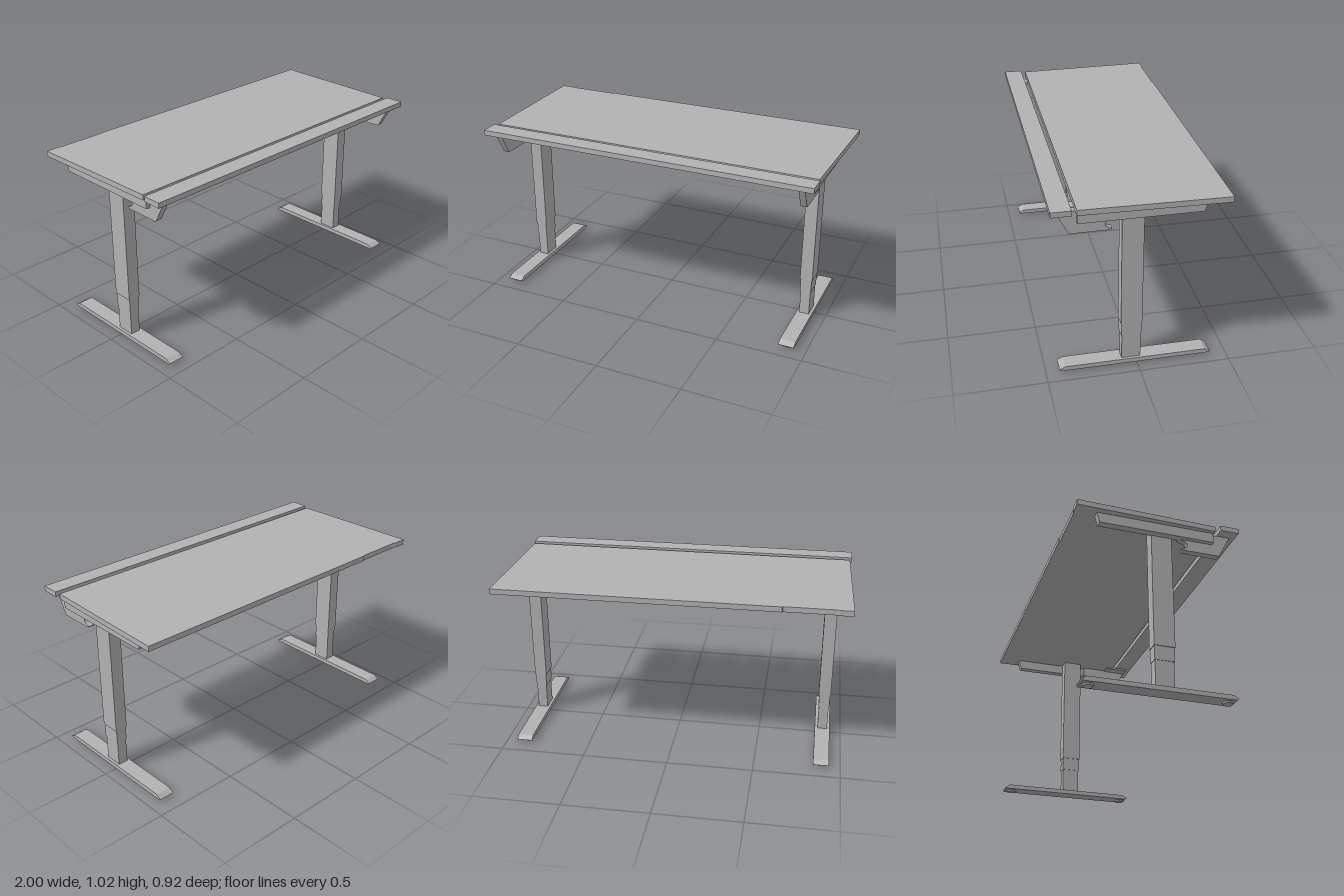
import * as THREE from 'three';

const grey = new THREE.MeshStandardMaterial({ color: 0xb2b2b2 });
grey.name = 'light grey';

function add(parent, name, geometry) {
  const mesh = new THREE.Mesh(geometry, grey);
  mesh.name = name;
  parent.add(mesh);
  return mesh;
}

// Box given by its limits on each axis
function box(x0, x1, y0, y1, z0, z1) {
  return new THREE.BoxGeometry(x1 - x0, y1 - y0, z1 - z0)
    .translate((x0 + x1) / 2, (y0 + y1) / 2, (z0 + z1) / 2);
}

function shapeOf(points) {
  return new THREE.Shape(points.map(([a, b]) => new THREE.Vector2(a, b)));
}

// Side profile of [z, y] points, extruded from x0 to x1
function sideProfile(shape, x0, x1) {
  return new THREE.ExtrudeGeometry(shape, { depth: x1 - x0, bevelEnabled: false, curveSegments: 8 })
    .rotateY(-Math.PI / 2).translate(x1, 0, 0);
}

// Carrier for the front bar, with a hooked rear end
function bracketShape() {
  const s = new THREE.Shape();
  s.moveTo(0.432, 0.99);
  s.lineTo(0.418, 0.962);
  s.lineTo(0.37, 0.87);
  s.quadraticCurveTo(0.364, 0.858, 0.354, 0.858);
  s.lineTo(0.16, 0.858);
  s.quadraticCurveTo(0.145, 0.858, 0.145, 0.867);
  s.bezierCurveTo(0.19, 0.878, 0.19, 0.905, 0.155, 0.918);
  s.lineTo(0.13, 0.926);
  s.lineTo(0.13, 0.984);
  s.lineTo(0.33, 0.984);
  s.lineTo(0.355, 0.99);
  return s;
}

function createLeg(side) {
  const leg = new THREE.Group();
  leg.name = side > 0 ? 'leftLeg' : 'rightLeg';
  const cx = side * 0.888;

  // Telescoping column
  add(leg, 'upperColumn', box(cx - 0.036, cx + 0.036, 0.265, 0.984, -0.025, 0.091));
  add(leg, 'middleColumn', box(cx - 0.032, cx + 0.032, 0.185, 0.27, -0.022, 0.088));
  add(leg, 'lowerColumn', box(cx - 0.029, cx + 0.029, 0.034, 0.19, -0.02, 0.084));

  // Foot with chamfered ends and two pads
  const foot = shapeOf([[0.418, 0.011], [0.428, 0.02], [0.396, 0.037],
    [-0.382, 0.037], [-0.411, 0.018], [-0.402, 0.011]]);
  add(leg, 'foot', sideProfile(foot, cx - 0.045, cx + 0.045));
  for (const z of [0.383, -0.362]) {
    add(leg, 'footPad', new THREE.CylinderGeometry(0.03, 0.026, 0.011, 20).translate(cx, 0.0065, z));
  }

  // Beam under the top, on the outer side of the column
  const beam = shapeOf([[0.324, 0.924], [0.324, 0.984], [-0.342, 0.984],
    [-0.34, 0.97], [-0.326, 0.924]]);
  const b0 = side * 0.918, b1 = side * 0.96;
  add(leg, 'sideBeam', sideProfile(beam, Math.min(b0, b1), Math.max(b0, b1)));

  // Bracket and its inward flange
  const k0 = side * 0.9, k1 = side * 0.935;
  add(leg, 'barBracket', sideProfile(bracketShape(), Math.min(k0, k1), Math.max(k0, k1)));
  const f0 = side * 0.845;
  add(leg, 'bracketFlange', box(Math.min(f0, k0), Math.max(f0, k0), 0.976, 0.99, 0.28, 0.43));
  return leg;
}

export function createModel() {
  const desk = new THREE.Group();
  desk.name = 'standingDesk';

  // Top, slightly narrower at the front, with a shallow recess in the rear edge
  const outline = shapeOf([[-0.982, 0.329], [0.982, 0.329], [1, -0.462], [-0.62, -0.462],
    [-0.625, -0.457], [-0.91, -0.457], [-0.92, -0.462], [-1, -0.462]]);
  const top = new THREE.ExtrudeGeometry(outline, { depth: 0.031, bevelEnabled: false })
    .rotateX(Math.PI / 2).translate(0, 1.013, 0);
  add(desk, 'tableTop', top);

  // Separate bar along the front edge
  add(desk, 'frontBar', box(-0.994, 0.991, 0.988, 1.018, 0.355, 0.462));

  for (const side of [1, -1]) desk.add(createLeg(side));
  return desk;
}
